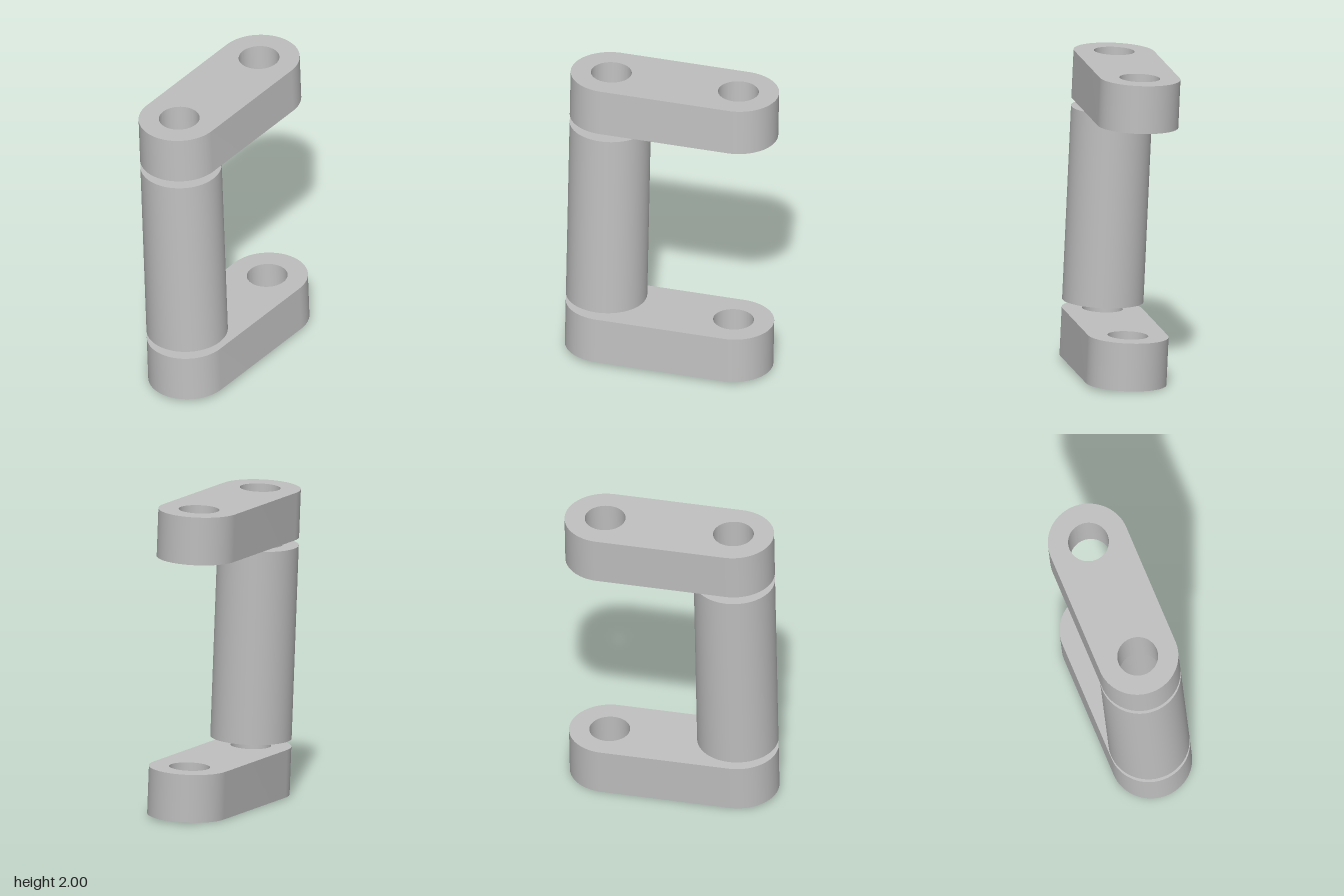
import * as THREE from 'three';
import { toCreasedNormals } from 'three/addons/utils/BufferGeometryUtils.js';

const OUTER = 0.257;
const BACK = new THREE.Vector2(-0.224, 0.8); // rear hole seen from the front hole

// Extrude a flat outline upwards, keeping rims sharp and walls smooth
function extrudeUp(shape, height) {
  const geo = new THREE.ExtrudeGeometry(shape, { depth: height, bevelEnabled: false, curveSegments: 40 });
  geo.rotateX(-Math.PI / 2);
  return toCreasedNormals(geo, Math.PI / 6);
}

function addHole(shape, x, y, radius) {
  const hole = new THREE.Path();
  hole.absarc(x, y, radius, 0, Math.PI * 2, true);
  shape.holes.push(hole);
}

// Round-ended plate with a hole at each end
function linkShape() {
  const a = BACK.angle(), q = Math.PI / 2;
  const s = new THREE.Shape();
  s.absarc(0, 0, OUTER, a + q, a + 3 * q, false);
  s.absarc(BACK.x, BACK.y, OUTER, a - q, a + q, false);
  s.closePath();
  addHole(s, 0, 0, 0.129);
  addHole(s, BACK.x, BACK.y, 0.129);
  return s;
}

// Hollow sleeve
function sleeveShape() {
  const s = new THREE.Shape();
  s.absarc(0, 0, OUTER, 0, Math.PI * 2, false);
  addHole(s, 0, 0, 0.155);
  return s;
}

export function createModel() {
  const grey = new THREE.MeshStandardMaterial({ color: 0xbfbfbf });
  grey.name = 'plain grey';

  const assembly = new THREE.Group();
  assembly.name = 'linkAssembly';

  // name, outline, base along the sleeve axis, height
  const parts = [
    ['lowerLink', linkShape(), 0, 0.308],
    ['sleeve', sleeveShape(), 0.361, 1.246],
    ['upperLink', linkShape(), 1.66, 0.308],
  ];
  for (const [name, shape, base, height] of parts) {
    const mesh = new THREE.Mesh(extrudeUp(shape, height), grey);
    mesh.name = name;
    mesh.position.y = base;
    assembly.add(mesh);
  }

  // The whole assembly leans slightly
  const axis = new THREE.Vector3(-0.045, 1, 0.005).normalize();
  assembly.quaternion.setFromUnitVectors(new THREE.Vector3(0, 1, 0), axis);
  assembly.position.set(0.153, 0.019, 0.395);

  const model = new THREE.Group();
  model.name = 'model';
  model.add(assembly);
  return model;
}
